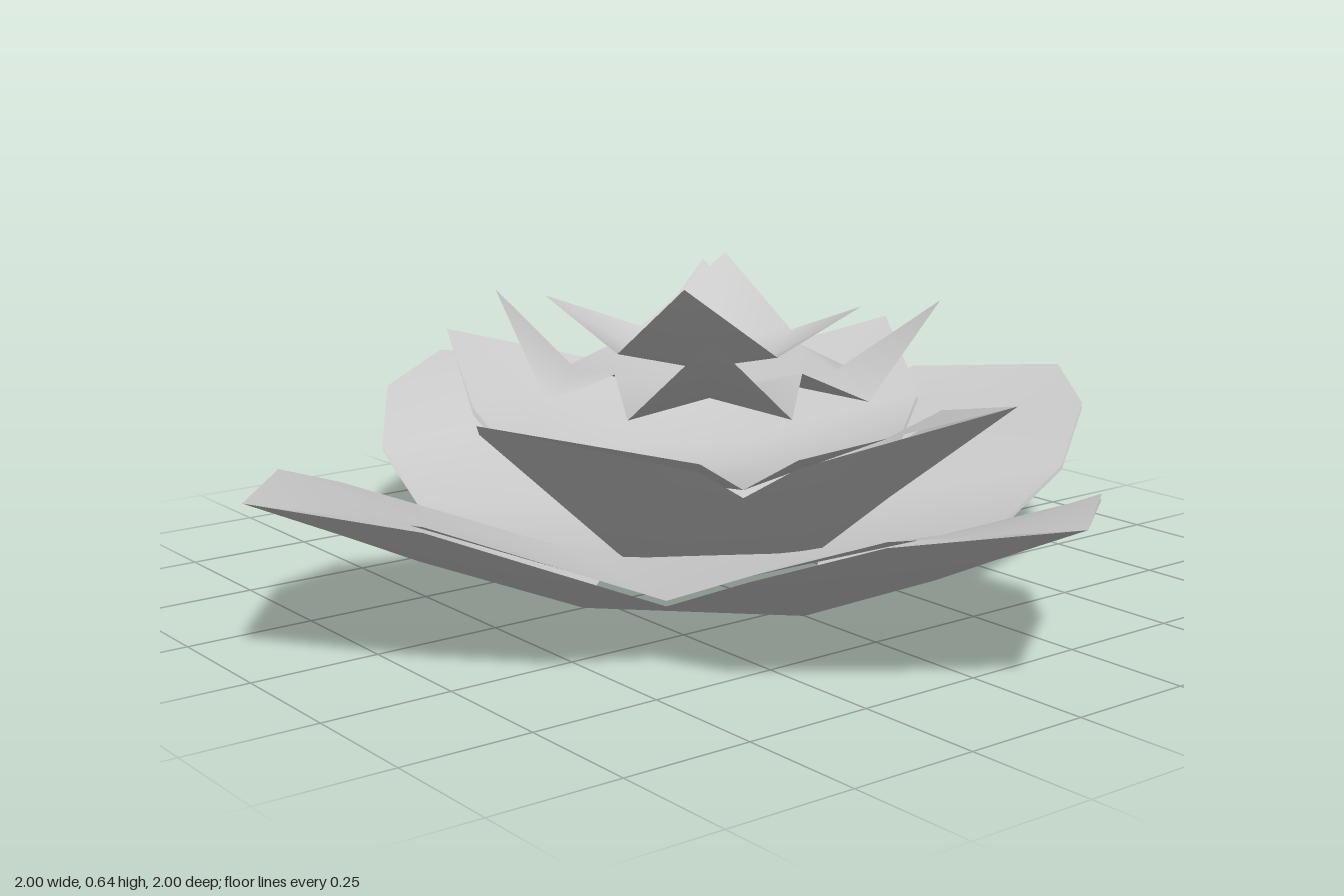
import * as THREE from 'three';
import { mergeVertices } from 'three/addons/utils/BufferGeometryUtils.js';

const material = new THREE.MeshStandardMaterial({ color: 0xcccccc, side: THREE.DoubleSide });

// A whorl of four joined petals. Each row, from base to tip, is
// { mid: [radius, y], rim: [radius, half width, y] }; tips holds [radius, y] per petal.
function whorl(name, { turn, rows, tips, floor }) {
  const positions = [];
  const tri = (a, b, c) => positions.push(...a, ...c, ...b);
  const place = (k, r, w, y) => {
    const a = THREE.MathUtils.degToRad(turn + 90 * k);
    return [r * Math.cos(a) - w * Math.sin(a), y, r * Math.sin(a) + w * Math.cos(a)];
  };

  for (let k = 0; k < 4; k++) {
    const points = rows.map(({ mid, rim }) => [
      place(k, rim[0], -rim[1], rim[2]),
      place(k, mid[0], 0, mid[1]),
      place(k, rim[0], rim[1], rim[2]),
    ]);
    const tip = place(k, tips[k][0], 0, tips[k][1]);

    // blade, in strips on both sides of the keel
    points.forEach((row, i) => {
      const next = points[i + 1];
      for (let s = 0; s < 2; s++) {
        if (!next) {
          tri(row[s], row[s + 1], tip);
        } else {
          tri(row[s], row[s + 1], next[s + 1]);
          tri(row[s], next[s + 1], next[s]);
        }
      }
    });

    // web joining this petal to the next one
    const base = points[0][1];
    const nextBase = place(k + 1, rows[0].mid[0], 0, rows[0].mid[1]);
    tri(base, nextBase, points[0][2]);
    if (floor !== undefined) tri(base, [0, floor, 0], nextBase);
  }

  const raw = new THREE.BufferGeometry();
  raw.setAttribute('position', new THREE.Float32BufferAttribute(positions, 3));
  const geometry = mergeVertices(raw, 1e-4);
  geometry.computeVertexNormals();
  const mesh = new THREE.Mesh(geometry, material);
  mesh.name = name;
  return mesh;
}

export function createModel() {
  const flower = new THREE.Group();
  flower.name = 'waterLily';
  const outerTips = Array(4).fill([1, 0.32]);
  const middleTips = Array(4).fill([0.68, 0.44]);

  flower.add(
    // broad outer petals: underside, open at the base
    whorl('outerPetalUnderside', {
      turn: 0,
      rows: [
        { mid: [0.3, 0], rim: [0.41, 0.41, 0.125] },
        { mid: [0.655, 0.155], rim: [0.605, 0.385, 0.21] },
        { mid: [0.82, 0.235], rim: [0.8, 0.257, 0.29] },
      ],
      tips: outerTips,
    }),
    // fuller upper skin, meeting the underside along the rim
    whorl('outerPetalTop', {
      turn: 0,
      rows: [
        { mid: [0.3, 0.11], rim: [0.41, 0.41, 0.135] },
        { mid: [0.63, 0.225], rim: [0.605, 0.385, 0.22] },
        { mid: [0.81, 0.285], rim: [0.8, 0.257, 0.3] },
      ],
      tips: outerTips,
      floor: 0.09,
    }),
    // second ring, slightly turned
    whorl('middlePetalUnderside', {
      turn: -16.5,
      rows: [
        { mid: [0.24, 0.085], rim: [0.279, 0.279, 0.27] },
        { mid: [0.42, 0.235], rim: [0.382, 0.257, 0.335] },
      ],
      tips: middleTips,
    }),
    whorl('middlePetalTop', {
      turn: -16.5,
      rows: [
        { mid: [0.2, 0.25], rim: [0.279, 0.279, 0.285] },
        { mid: [0.41, 0.345], rim: [0.382, 0.257, 0.35] },
      ],
      tips: middleTips,
      floor: 0.24,
    }),
    // third ring, with low shoulders and raised tips
    whorl('innerPetals', {
      turn: 37,
      rows: [
        { mid: [0.1, 0.41], rim: [0.176, 0.176, 0.455] },
        { mid: [0.25, 0.425], rim: [0.305, 0.15, 0.395] },
      ],
      tips: [[0.455, 0.565], [0.43, 0.565], [0.41, 0.59], [0.4, 0.59]],
      floor: 0.405,
    }),
    // small cupped heart
    whorl('heartPetals', {
      turn: 45,
      rows: [{ mid: [0.12, 0.455], rim: [0.152, 0.152, 0.485] }],
      tips: [[0.3, 0.56], [0.335, 0.64], [0.32, 0.57], [0.32, 0.615]],
      floor: 0.445,
    }),
  );
  return flower;
}
